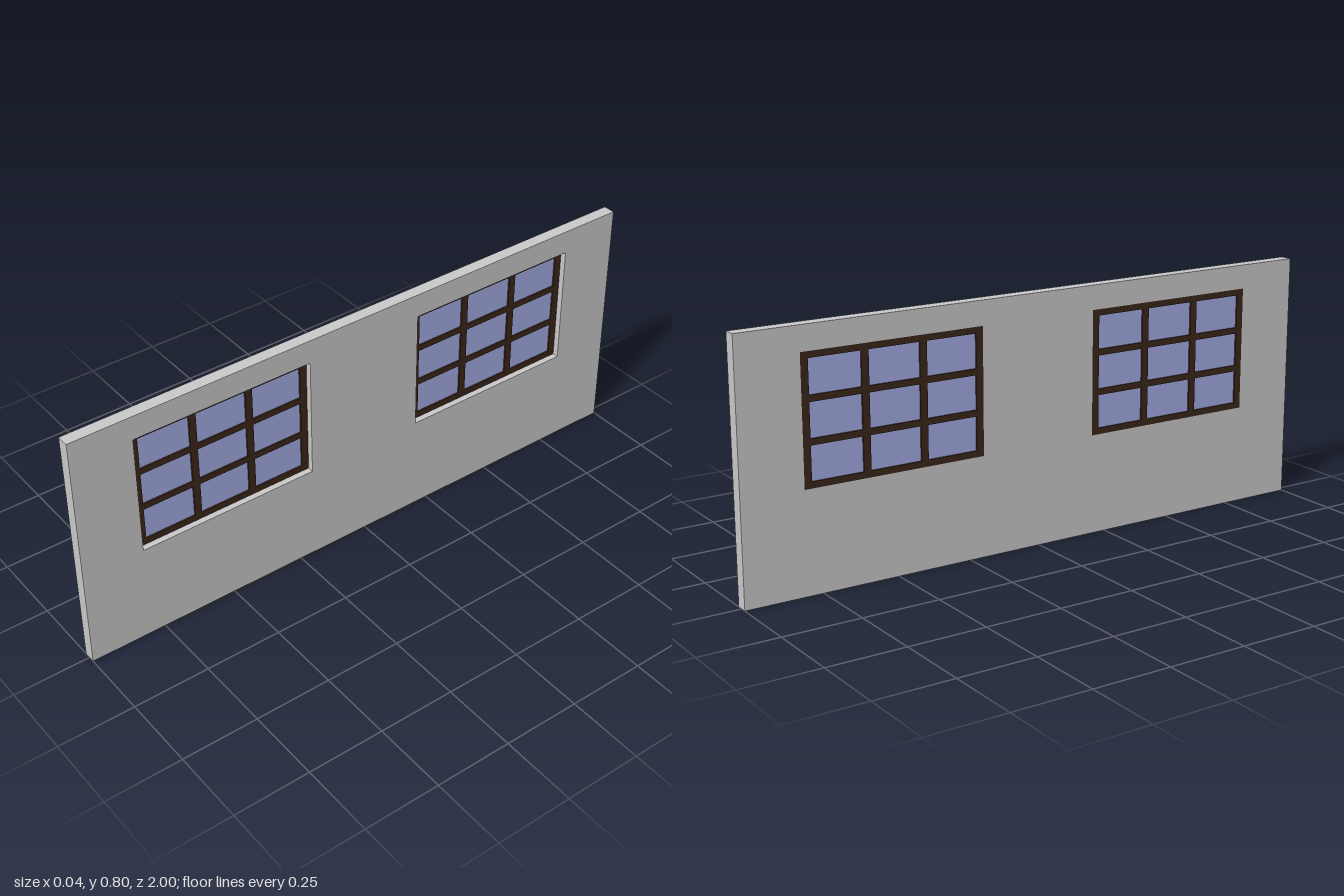
import * as THREE from 'three';

const WALL = { length: 2, height: 0.8, depth: 0.04 };
const WIN = { width: 0.6, height: 0.4, y: 0.522, z: 0.5, bar: 0.024, rail: 0.02, depth: 0.02 };

function addRect(path, cx, cy, w, h) {
  path.moveTo(cx - w / 2, cy - h / 2);
  path.lineTo(cx + w / 2, cy - h / 2);
  path.lineTo(cx + w / 2, cy + h / 2);
  path.lineTo(cx - w / 2, cy + h / 2);
  path.closePath();
  return path;
}

// Extrudes a shape along x, centred on x = 0, with the shape's width along z
function panel(shape, depth) {
  return new THREE.ExtrudeGeometry(shape, { depth, bevelEnabled: false })
    .translate(0, 0, -depth / 2)
    .rotateY(Math.PI / 2);
}

export function createModel() {
  const model = new THREE.Group();
  model.name = 'windowWall';
  const wallMat = new THREE.MeshStandardMaterial({ color: 0xcccccc });
  const frameMat = new THREE.MeshStandardMaterial({ color: 0x3c271a });
  const glassMat = new THREE.MeshStandardMaterial({ color: 0xa6aee8 });

  // Wall slab with two openings
  const wallShape = addRect(new THREE.Shape(), 0, WALL.height / 2, WALL.length, WALL.height);
  for (const s of [-1, 1]) {
    wallShape.holes.push(addRect(new THREE.Path(), s * WIN.z, WIN.y, WIN.width, WIN.height));
  }
  const wall = new THREE.Mesh(panel(wallShape, WALL.depth), wallMat);
  wall.name = 'wall';
  model.add(wall);

  // Lattice frame: three by three openings in one piece
  const paneW = (WIN.width - 4 * WIN.bar) / 3;
  const paneH = (WIN.height - 4 * WIN.rail) / 3;
  const frameShape = addRect(new THREE.Shape(), 0, 0, WIN.width, WIN.height);
  for (let i = -1; i <= 1; i++) {
    for (let j = -1; j <= 1; j++) {
      frameShape.holes.push(
        addRect(new THREE.Path(), i * (paneW + WIN.bar), j * (paneH + WIN.rail), paneW, paneH)
      );
    }
  }
  const frameGeo = panel(frameShape, WIN.depth);
  const glassGeo = new THREE.BoxGeometry(0.01, paneH, paneW);

  // Windows sit flush with the -x face and recessed from the +x face
  for (const s of [-1, 1]) {
    const win = new THREE.Group();
    win.name = s > 0 ? 'frontWindow' : 'backWindow';
    win.position.set((WIN.depth - WALL.depth) / 2, WIN.y, s * WIN.z);
    const frame = new THREE.Mesh(frameGeo, frameMat);
    frame.name = 'windowFrame';
    win.add(frame);
    for (let i = -1; i <= 1; i++) {
      for (let j = -1; j <= 1; j++) {
        const pane = new THREE.Mesh(glassGeo, glassMat);
        pane.name = 'glassPane';
        pane.position.set(0, j * (paneH + WIN.rail), i * (paneW + WIN.bar));
        win.add(pane);
      }
    }
    model.add(win);
  }
  return model;
}
